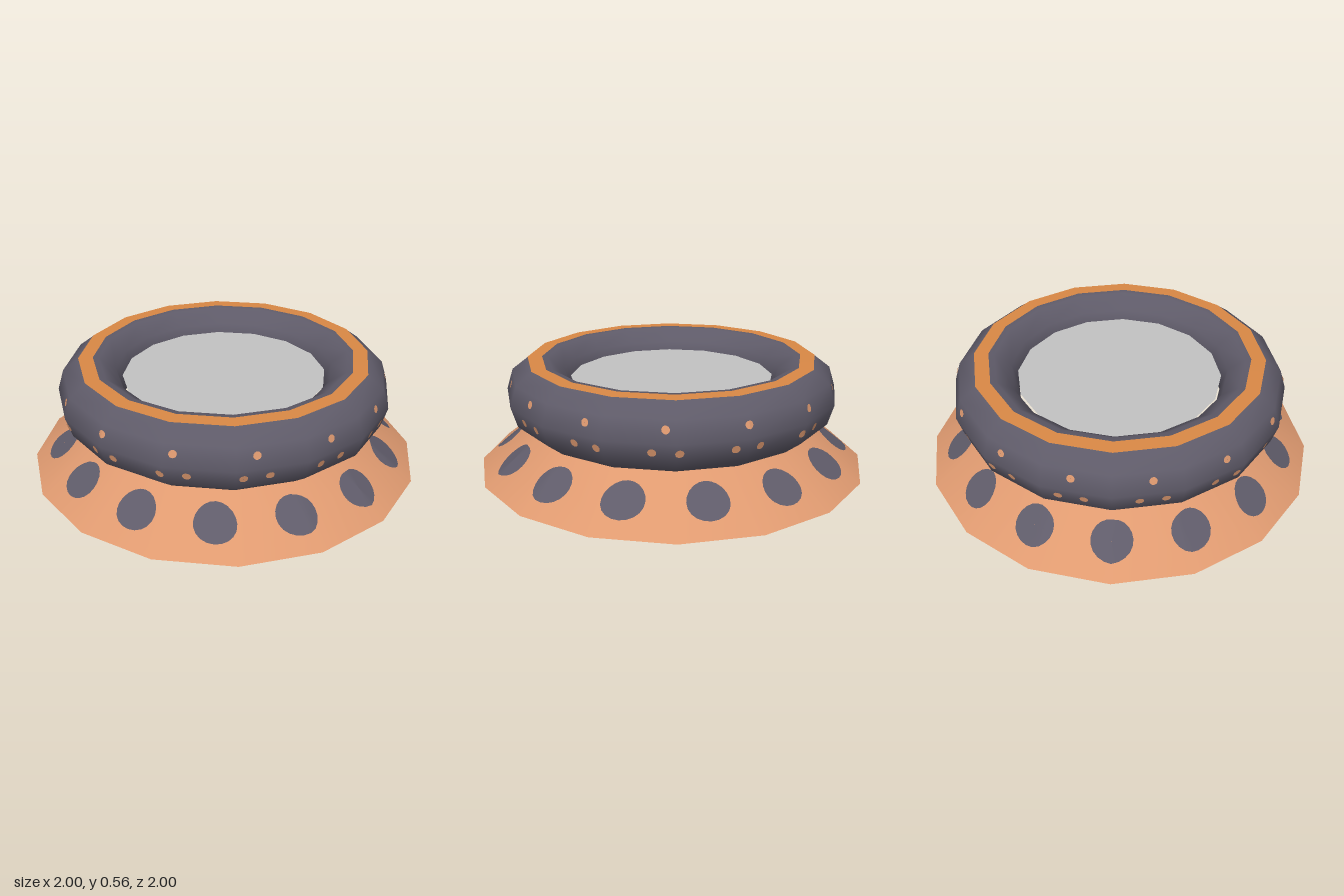
import * as THREE from 'three';

const SIDES = 16;
const material = (name, color) => {
  const m = new THREE.MeshStandardMaterial({ color });
  m.name = name;
  return m;
};

// Shrinks a radius to the flat side of the sixteen-sided outline
function facet(angle) {
  const step = (2 * Math.PI) / SIDES;
  const local = angle - (Math.floor(angle / step) + 0.5) * step;
  return Math.cos(step / 2) / Math.cos(local);
}

// Round spot that hugs a faceted surface whose radius depends on height
function spot(radiusAt, angle, y, size, rise, lift) {
  const g = new THREE.RingGeometry(0.0005, size, 20, size > 0.05 ? 6 : 2);
  const p = g.attributes.position;
  for (let i = 0; i < p.count; i++) {
    const h = y + p.getY(i) * rise;
    const a = angle + p.getX(i) / radiusAt(y);
    const r = (radiusAt(h) + lift) * facet(a);
    p.setXYZ(i, Math.sin(a) * r, h, Math.cos(a) * r);
  }
  g.computeVertexNormals();
  return g;
}

export function createModel() {
  const model = new THREE.Group();
  const clay = material('clay orange', 0xdf9a70);
  const slate = material('slate', 0x5f5b69);
  const amber = material('amber', 0xd98845);
  const grey = material('pale grey', 0xc2c2c2);
  const umber = material('dark umber', 0x573b37);

  const add = (name, geometry, mat, parent = model) => {
    const mesh = new THREE.Mesh(geometry, mat);
    mesh.name = name;
    parent.add(mesh);
    return mesh;
  };
  const group = (name) => {
    const g = new THREE.Group();
    g.name = name;
    model.add(g);
    return g;
  };

  // Flared foot and its underside
  const v = (x, y) => new THREE.Vector2(x, y);
  add('foot', new THREE.LatheGeometry([v(1, 0), v(0.7, 0.236)], SIDES), clay);
  add('underside', new THREE.CircleGeometry(1, SIDES).rotateX(Math.PI / 2), umber);

  // Thick rim
  const rim = new THREE.TorusGeometry(0.685, 0.165, 10, SIDES);
  rim.rotateX(Math.PI / 2).scale(1, 1.06, 1).translate(0, 0.39, 0);
  add('rim', rim, slate);

  // Stripe along the top of the rim
  add('rimStripe', new THREE.LatheGeometry([v(0.738, 0.557), v(0.664, 0.559)], SIDES), amber);

  // Disc filling the opening
  const disc = new THREE.CircleGeometry(0.52, SIDES).rotateX(-Math.PI / 2);
  add('innerDisc', disc, grey).position.y = 0.455;

  // Painted spots around the foot and dots around the rim
  const footRadius = (y) => 1 - (y * 0.3) / 0.236;
  const rimRadius = (y) => 0.85 - (Math.abs(y - 0.39) * 0.0315) / 0.103;
  const footSpots = group('footSpots');
  const rimDots = group('rimDots');
  const COUNT = 14;
  for (let i = 0; i < COUNT; i++) {
    const a = (i * 2 * Math.PI) / COUNT;
    add('footSpot', spot(footRadius, a, 0.12, 0.1, 0.62, 0.005), slate, footSpots);
    const b = a + Math.PI / COUNT;
    add('upperDot', spot(rimRadius, b, 0.453, 0.019, 0.95, 0.004), clay, rimDots);
    for (const side of [-1, 1]) {
      add('lowerDot', spot(rimRadius, b + side * 0.073, 0.346, 0.02, 0.95, 0.004), clay, rimDots);
    }
  }
  return model;
}
